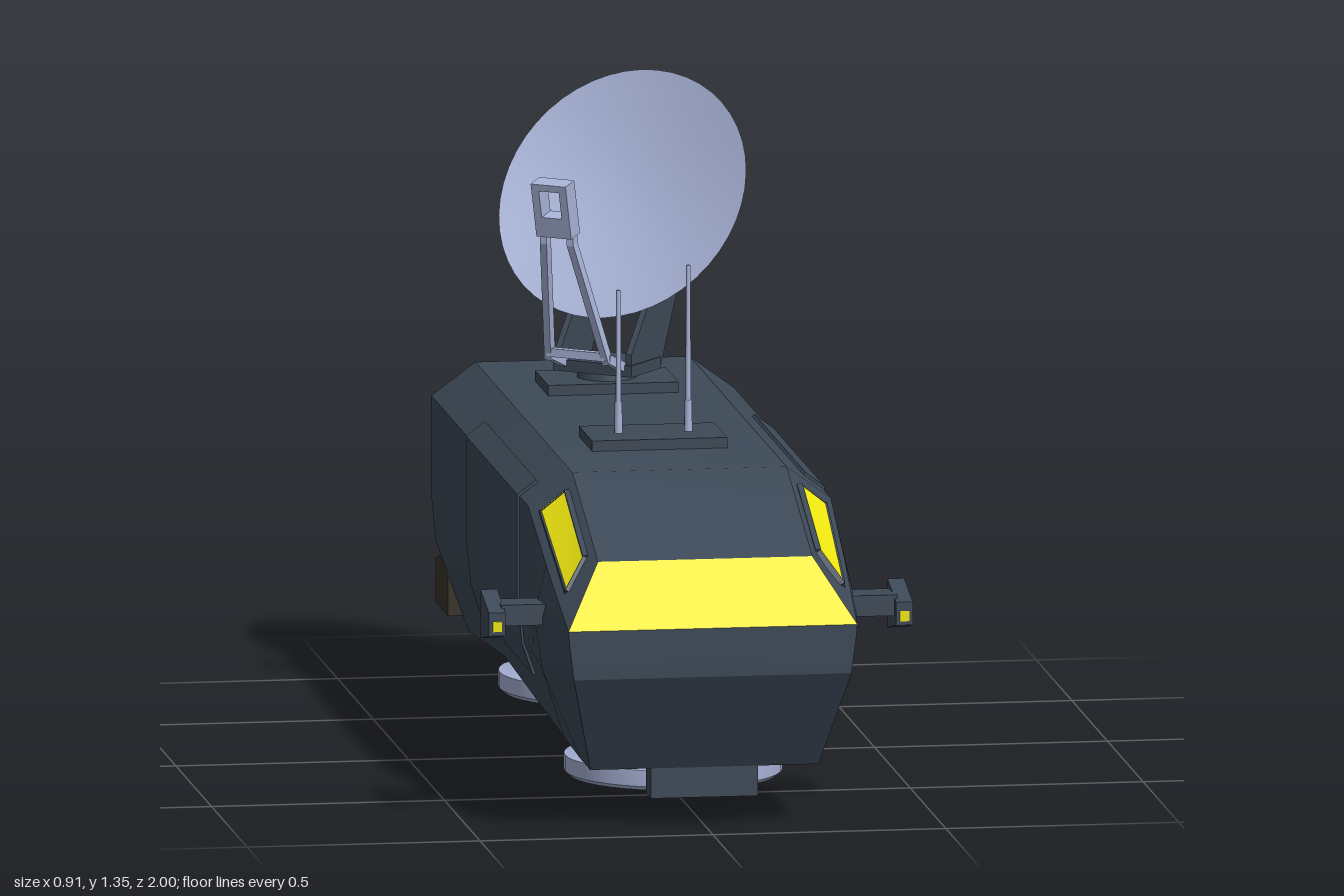
import * as THREE from 'three';
import { toCreasedNormals } from 'three/addons/utils/BufferGeometryUtils.js';

const mat = (color, side = THREE.FrontSide) => new THREE.MeshStandardMaterial({ color, side });
const HULL = mat(0x3d4957), PALE = mat(0xa9b4d8, THREE.DoubleSide), GLASS = mat(0xf0e810, THREE.DoubleSide);
const ENGINE = mat(0x3a342c), LENS = mat(0x6e6862);

function add(parent, name, geo, material, x = 0, y = 0, z = 0) {
  const m = new THREE.Mesh(geo, material);
  m.name = name;
  m.position.set(x, y, z);
  parent.add(m);
  return m;
}
const box = (w, h, d) => new THREE.BoxGeometry(w, h, d);
const lathe = (pts, seg = 40) =>
  toCreasedNormals(new THREE.LatheGeometry(pts.map(p => new THREE.Vector2(...p)), seg), 0.45);
const outline = pts => new THREE.Shape(pts.map(p => new THREE.Vector2(...p)));
const extrude = (shape, depth) =>
  new THREE.ExtrudeGeometry(shape, { depth, bevelEnabled: false }).translate(0, 0, -depth / 2);
// Slabs centred on their thickness: a (z, y) outline spread along x, an (x, z) outline along y
const slabX = (pts, w) => extrude(outline(pts), w).rotateY(-Math.PI / 2);
const slabY = (pts, h) => extrude(outline(pts), h).rotateX(Math.PI / 2);

// Faces from quads of corners, counter-clockwise from outside
function quads(list, crease = 0.4) {
  const pos = [];
  for (const [a, b, c, d] of list) pos.push(...a, ...b, ...c, ...a, ...c, ...d);
  const g = new THREE.BufferGeometry();
  g.setAttribute('position', new THREE.Float32BufferAttribute(pos, 3));
  g.computeVertexNormals();
  return toCreasedNormals(g, crease);
}

// Square-section beam between two points
function beam(parent, name, a, b, w, d, material) {
  const p = new THREE.Vector3(...a), q = new THREE.Vector3(...b);
  const m = add(parent, name, box(w, p.distanceTo(q), d), material);
  m.position.copy(p).add(q).multiplyScalar(0.5);
  m.quaternion.setFromUnitVectors(new THREE.Vector3(0, 1, 0), q.sub(p).normalize());
}

function buildHull(root) {
  // Half sections from roof edge to belly edge, back to front
  const main = (z, by, bx) =>
    [[.23, .705, z], [.325, .635, z], [.325, .42, z], [.315, .32, z], [bx, by, z]];
  const halves = [
    main(-.83, .125, .245), main(-.2, .18, .262), main(.53, .135, .248),
    [[.23, .626, .75], [.32, .546, .75], [.346, .44, .75], [.328, .32, .75], [.245, .125, .75]],
    [[.23, .575, .89], [.31, .445, 1], [.308, .42, 1], [.298, .34, .998], [.245, .125, .88]],
  ];
  const flip = ([x, y, z]) => [-x, y, z];
  const rings = halves.map(h => [...h, ...h.map(flip).reverse()]);
  const faces = [], n = rings[0].length;
  for (let i = 0; i < rings.length - 1; i++)
    for (let j = 0; j < n; j++) {
      const k = (j + 1) % n;
      faces.push([rings[i][j], rings[i + 1][j], rings[i + 1][k], rings[i][k]]);
    }
  const back = halves[0], front = halves[4];
  for (let j = 0; j < 4; j++) {
    faces.push([back[j], back[j + 1], flip(back[j + 1]), flip(back[j])]);
    if (j > 0) faces.push([flip(front[j]), flip(front[j + 1]), front[j + 1], front[j]]);
  }
  add(root, 'hull', quads(faces), HULL);
  add(root, 'windshield', quads([[flip(front[0]), flip(front[1]), front[1], front[0]]]), GLASS);
  add(root, 'frontBumper', box(.23, .075, .07), HULL, 0, .0975, .845);
}

function buildSide(root, s) {
  const side = new THREE.Group();
  side.name = s > 0 ? 'leftSide' : 'rightSide';
  side.scale.x = s;
  root.add(side);

  const pane = [[.25, .671, .58], [.25, .574, .84], [.295, .51, .885], [.303, .629, .58]];
  add(side, 'sideWindow', quads([pane]), GLASS, .004, .005, .002);
  pane.forEach((p, i) => beam(side, 'windowFrame', p, pane[(i + 1) % 4], .012, .014, HULL));

  // Raised door wrapped over the shoulder edge
  const door = outline([[.28, .66], [.289, .67], [.33, .639], [.33, .42], [.32, .318], [.297, .25], [.27, .25]]);
  add(side, 'sideDoor', extrude(door, .72), HULL, 0, 0, .05);

  // Camera pod on an arm
  add(side, 'podArm', box(.1, .045, .08), HULL, .375, .45, .77);
  add(side, 'pod', slabX([[.83, .46], [.71, .49], [.71, .385], [.83, .41]], .036), HULL, .437, 0, 0);
  add(side, 'podLamp', box(.02, .022, .006), GLASS, .437, .43, .83);

  // Engine: a square cage notched on all four walls
  const engine = new THREE.Group();
  engine.name = 'engine';
  engine.position.x = .16;
  side.add(engine);
  add(engine, 'enginePlate', box(.26, .44, .04), ENGINE, 0, .38, -.845);
  const cheek = [[-.83, .6], [-1, .6], [-1, .465], [-.865, .43], [-.865, .29], [-1, .255], [-1, .16], [-.83, .16]];
  const lid = [[-.13, -.83], [-.13, -1], [-.055, -1], [-.035, -.87], [.035, -.87], [.055, -1], [.13, -1], [.13, -.83]];
  for (const t of [-1, 1]) {
    add(engine, 'engineCheek', slabX(cheek, .035), ENGINE, t * .1125, 0, 0);
    add(engine, 'engineLid', slabY(lid, .045), ENGINE, 0, .38 + t * .1975, 0);
  }
}

function buildHoverPad(root, name, y, z) {
  const pad = new THREE.Group();
  pad.name = name;
  pad.position.set(0, y, z);
  root.add(pad);
  add(pad, 'padHousing', lathe([[.16, .06], [.188, .036], [.222, .036], [.232, .045], [.232, .08],
    [.2, .088], [.178, .1], [.12, .18]]), PALE);
  add(pad, 'padLens', lathe([[0, 0], [.06, .004], [.11, .016], [.145, .034], [.168, .065]]), LENS);
}

function buildAntennas(root) {
  add(root, 'antennaPlate', box(.29, .025, .185), HULL, -.005, .715, .193);
  for (const [x, top] of [[-.08, 1.035], [.07, 1.085]]) {
    add(root, 'antennaFoot', new THREE.CylinderGeometry(.008, .009, .07, 10), PALE, x, .76, .195);
    add(root, 'antennaRod', new THREE.CylinderGeometry(.005, .006, top - .72, 10), PALE, x, (top + .72) / 2, .195);
  }
}

function buildDish(root) {
  add(root, 'dishPlate', box(.28, .025, .185), HULL, 0, .715, -.49);
  const mount = new THREE.Group();
  mount.name = 'dishMount';
  mount.position.z = -.49;
  mount.rotation.y = -.647;
  root.add(mount);
  add(mount, 'swivel', new THREE.CylinderGeometry(.06, .065, .03, 24), HULL, 0, .735, 0);
  add(mount, 'swivelBlock', box(.19, .025, .13), HULL, 0, .755, 0);

  // Shallow bowl, tilted up
  const dish = add(mount, 'dish', lathe([[0, -.05], [.1, -.042], [.2, -.024], [.287, 0]], 48), PALE, 0, 1.11, -.07);
  dish.rotation.x = Math.PI / 2 - .56;

  // Rear ribs and their rungs
  const rib = [[.06, .745], [.06, .79], [-.05, .93], [-.11, 1.05], [-.19, 1.21], [-.2, 1.21],
    [-.185, 1.06], [-.14, .89], [-.07, .745]];
  for (const s of [-1, 1]) add(mount, 'dishRib', slabX(rib, .014), HULL, s * .085, 0, 0);
  for (const [y, z] of [[.9, -.09], [1.03, -.14]]) add(mount, 'ribRung', box(.17, .018, .03), HULL, 0, y, z);

  // Feed arms carrying a hollow receiver
  for (const s of [-1, 1]) {
    beam(mount, 'feedArm', [s * .07, .755, .04], [s * .07, .79, .13], .016, .02, PALE);
    beam(mount, 'feedArm', [s * .07, .78, .125], [s * .032, 1.05, .215], .016, .02, PALE);
    beam(mount, 'feedArm', [s * .032, 1.045, .215], [s * .032, 1.09, .215], .016, .02, PALE);
  }
  add(mount, 'feedBar', box(.14, .018, .02), PALE, 0, .795, .13);
  const frame = outline([[-.042, -.06], [.042, -.06], [.042, .06], [-.042, .06]]);
  frame.holes.push(new THREE.Path([[-.024, -.015], [-.024, .045], [.024, .045], [.024, -.015]]
    .map(p => new THREE.Vector2(...p))));
  const receiver = add(mount, 'receiver', extrude(frame, .04), PALE, 0, 1.125, .23);
  receiver.rotation.x = .22;
}

export function createModel() {
  const root = new THREE.Group();
  root.name = 'hoverVan';
  buildHull(root);
  for (const s of [1, -1]) buildSide(root, s);
  buildHoverPad(root, 'frontHoverPad', 0, .44);
  buildHoverPad(root, 'rearHoverPad', .018, -.48);
  buildAntennas(root);
  buildDish(root);
  return root;
}
